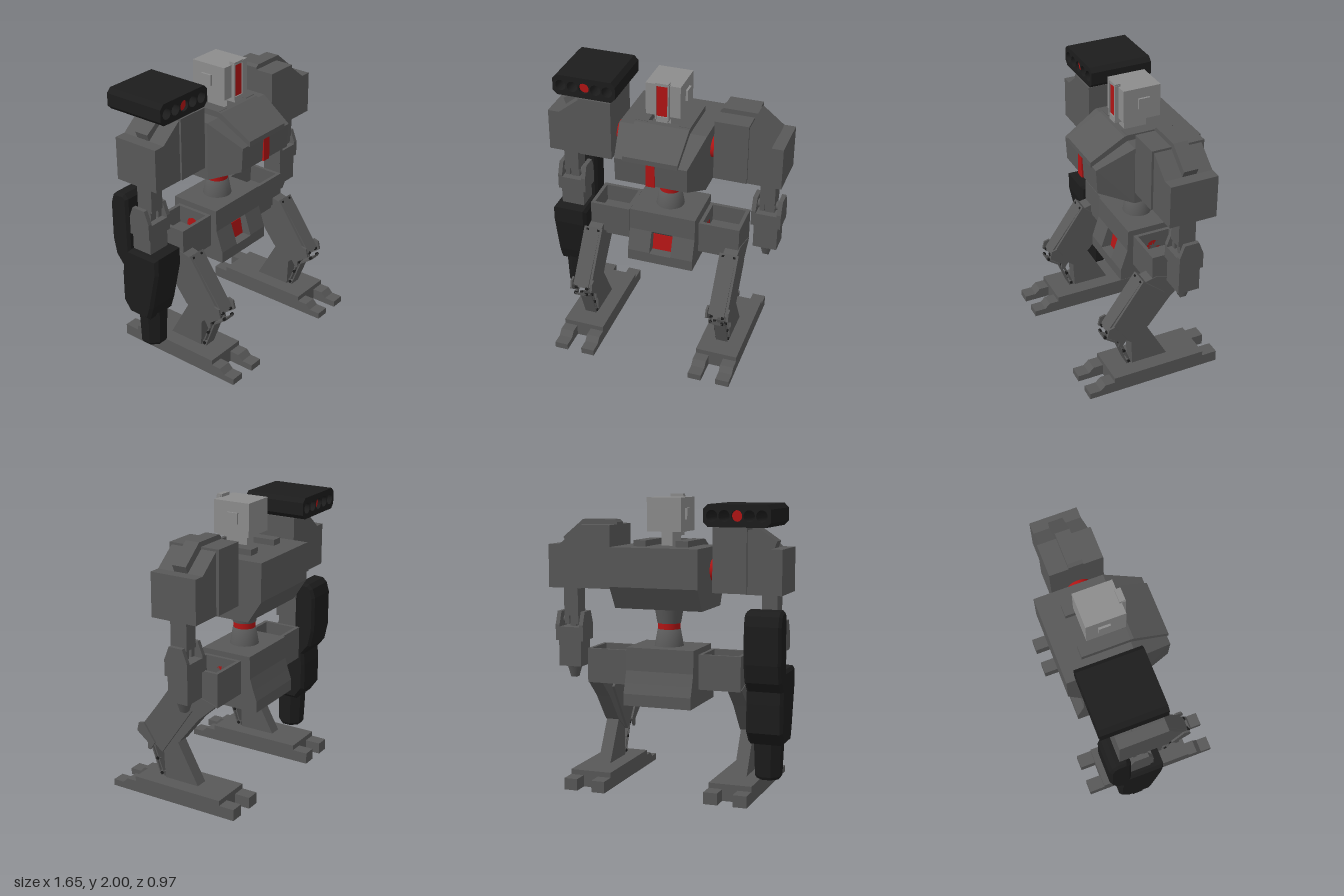
import * as THREE from 'three';
import { ConvexGeometry } from 'three/addons/geometries/ConvexGeometry.js';

const mat = (color) => new THREE.MeshStandardMaterial({ color });
const GREY = mat(0x585858), LIGHT = mat(0x8c8c8c), BLACK = mat(0x1c1c1c), RED = mat(0xb01414);

function add(parent, name, geometry, material = GREY) {
  const mesh = new THREE.Mesh(geometry, material);
  mesh.name = name;
  parent.add(mesh);
  return mesh;
}

// Box given by its limits on each axis
function box(parent, name, x0, x1, y0, y1, z0, z1, material) {
  const g = new THREE.BoxGeometry(Math.abs(x1 - x0), y1 - y0, Math.abs(z1 - z0));
  g.translate((x0 + x1) / 2, (y0 + y1) / 2, (z0 + z1) / 2);
  return add(parent, name, g, material);
}

const toShape = (pts) => new THREE.Shape(pts.map(([a, b]) => new THREE.Vector2(a, b)));

// Side profile of [z, y] points, extruded across x around a centre
function side(parent, name, pts, x, width, material, bevel = 0) {
  const g = new THREE.ExtrudeGeometry(toShape(pts), {
    depth: width - 2 * bevel, bevelEnabled: bevel > 0, bevelSize: bevel, bevelThickness: bevel,
    bevelOffset: -bevel, bevelSegments: 1 });
  g.rotateY(-Math.PI / 2).translate(x + width / 2 - bevel, 0, 0);
  return add(parent, name, g, material);
}

// Front profile of [x, y] points, extruded from z0 to z1
function front(parent, name, pts, z0, z1, material) {
  const g = new THREE.ExtrudeGeometry(toShape(pts), { depth: z1 - z0, bevelEnabled: false });
  return add(parent, name, g.translate(0, 0, z0), material);
}

// Cylinder lying along x
function axle(parent, name, x, y, z, r, length, material, sides = 24) {
  const g = new THREE.CylinderGeometry(r, r, length, sides).rotateZ(Math.PI / 2);
  return add(parent, name, g.translate(x, y, z), material);
}

function hull(parent, name, pts, material) {
  return add(parent, name, new ConvexGeometry(pts.map((p) => new THREE.Vector3(...p))), material);
}

function buildHead(root) {
  const head = new THREE.Group();
  head.name = 'head';
  box(head, 'neck', -0.04, 0.04, 1.64, 1.77, -0.21, -0.05, LIGHT);
  box(head, 'skull', -0.12, 0.12, 1.755, 1.98, -0.27, -0.005, LIGHT);
  box(head, 'visor', -0.038, 0.038, 1.76, 1.98, -0.01, 0.012, RED);
  box(head, 'chin', -0.04, 0.04, 1.72, 1.76, -0.06, 0.02, LIGHT);
  box(head, 'crest', -0.045, 0.045, 1.98, 2.0, -0.02, 0.02, LIGHT);
  for (const s of [-1, 1]) {
    box(head, 'visorFrame', s * 0.038, s * 0.048, 1.74, 1.99, -0.01, 0.022, LIGHT);
    box(head, 'ear', s * 0.11, s * 0.135, 1.835, 1.91, -0.19, -0.11, LIGHT);
  }
  root.add(head);
}

function buildTorso(root) {
  const torso = new THREE.Group();
  torso.name = 'torso';
  const pts = [];
  for (const s of [-1, 1]) {
    for (const [y, z] of [[1.66, -0.475], [1.4, -0.475], [1.25, -0.38], [1.25, 0], [1.66, 0]]) pts.push([s * 0.305, y, z]);
    pts.push([s * 0.25, 1.36, 0.24], [s * 0.25, 1.53, 0.25]);
    box(torso, 'collarRail', s * 0.105, s * 0.19, 1.65, 1.7, -0.33, 0);
  }
  hull(torso, 'chest', pts);
  side(torso, 'collarPlate', [[-0.02, 1.6], [-0.02, 1.7], [0.02, 1.695], [0.26, 1.56], [0.26, 1.525], [0.1, 1.5]], 0, 0.38);
  box(torso, 'chestLight', -0.03, 0.03, 1.36, 1.526, 0.2, 0.254, RED);
  // Waist
  const lathe = (name, prof, material) => add(torso, name,
    new THREE.LatheGeometry(prof.map(([r, y]) => new THREE.Vector2(r, y)), 32).translate(0, 0, -0.17), material);
  lathe('waistUpper', [[0, 1.14], [0.08, 1.14], [0.1, 1.255]].slice(1));
  lathe('waistRing', [[0.075, 1.09], [0.075, 1.15]], RED);
  lathe('waistLower', [[0.1, 0.98], [0.078, 1.1], [0, 1.1]]);
  add(torso, 'waistCap', new THREE.CylinderGeometry(0.08, 0.08, 0.004, 32).translate(0, 1.142, -0.17));
  root.add(torso);
}

function buildPelvis(root) {
  const pelvis = new THREE.Group();
  pelvis.name = 'pelvis';
  const back = [[0.065, 0.6], [-0.41, 0.6], [-0.41, 0.68], [-0.385, 0.75], [-0.36, 0.83], [-0.355, 0.985], [0.01, 0.985]];
  const plain = [...back, [0.015, 0.83], [0.065, 0.68]];
  const notched = [...back, [0.015, 0.83], [-0.03, 0.79], [-0.01, 0.675], [0.065, 0.675]];
  side(pelvis, 'pelvisSide', plain, -0.158, 0.16);
  side(pelvis, 'pelvisSide', plain, 0.158, 0.16);
  side(pelvis, 'pelvisMiddle', notched, 0, 0.156);
  side(pelvis, 'pelvisLight', [[-0.035, 0.79], [-0.025, 0.79], [-0.004, 0.676], [-0.015, 0.676]], 0, 0.154, RED);
  root.add(pelvis);
}

function buildLeg(root, s) {
  const leg = new THREE.Group();
  leg.name = s > 0 ? 'leftLeg' : 'rightLeg';
  const c = s * 0.5;
  // Hip tray, open at the top
  axle(leg, 'hipJoint', s * 0.25, 0.845, -0.16, 0.05, 0.06, RED);
  box(leg, 'hipFloor', s * 0.255, s * 0.545, 0.72, 0.83, -0.3, -0.02);
  for (const [z0, z1] of [[-0.3, -0.275], [-0.045, -0.02]]) box(leg, 'hipWall', s * 0.255, s * 0.545, 0.83, 0.955, z0, z1);
  for (const [x0, x1] of [[0.255, 0.28], [0.52, 0.545]]) box(leg, 'hipWall', s * x0, s * x1, 0.83, 0.955, -0.275, -0.045);
  // Thigh and shin
  side(leg, 'thigh', [[0.03, 0.78], [-0.05, 0.8], [-0.29, 0.73], [-0.15, 0.6], [0, 0.41], [0.13, 0.31], [0.29, 0.44]], c, 0.1);
  side(leg, 'thighArmor', [[0.055, 0.8], [-0.11, 0.66], [0.13, 0.31], [0.3, 0.45]], c, 0.135);
  side(leg, 'thighPanel', [[0.062, 0.79], [0.04, 0.785], [0.29, 0.43], [0.315, 0.45]], c, 0.1);
  side(leg, 'shin', [[0.16, 0.42], [0.13, 0.3], [0.12, 0.1], [-0.15, 0.1], [0.015, 0.4], [0.06, 0.46]], c, 0.09);
  // Knee guard and the open strut below it
  side(leg, 'kneePlate', [[0.335, 0.415], [0.325, 0.4], [0.23, 0.335], [0.155, 0.12], [0.163, 0.12], [0.24, 0.325], [0.335, 0.395]], c, 0.085);
  side(leg, 'strutPlate', [[0.222, 0.35], [0.212, 0.345], [0.128, 0.12], [0.138, 0.12]], c, 0.085);
  for (const e of [-1, 1]) {
    side(leg, 'kneeRail', [[0.31, 0.49], [0.27, 0.5], [0.18, 0.37], [0.22, 0.31], [0.24, 0.32], [0.235, 0.36], [0.325, 0.43]], c + e * 0.075, 0.014);
    for (const [z, y] of [[0.06, 0.78], [0.27, 0.49], [0.31, 0.445], [0.325, 0.405], [0.225, 0.335], [0.185, 0.24], [0.15, 0.14]]) {
      axle(leg, 'bolt', c + e * 0.04, y, z, 0.011, 0.018, BLACK, 8);
    }
    for (const y of [0.14, 0.23, 0.32]) {
      const z = 0.14 + (y - 0.12) * 0.39;
      box(leg, 'strutSpacer', c + e * 0.025, c + e * 0.04, y, y + 0.012, z - 0.015, z + 0.016);
    }
    // Toes at the front and heel prongs behind
    side(leg, 'toe', [[0.25, 0], [0.485, 0], [0.485, 0.045], [0.405, 0.045], [0.37, 0.08], [0.25, 0.08]], c + e * 0.1, 0.095);
    box(leg, 'heelProng', c + e * 0.0525, c + e * 0.1475, 0, 0.08, -0.485, -0.36);
  }
  side(leg, 'foot', [[-0.375, 0], [0.3, 0], [0.3, 0.115], [-0.375, 0.115]], c, 0.295);
  root.add(leg);
}

function buildArm(root, s, hasHand) {
  const arm = new THREE.Group();
  arm.name = s > 0 ? 'leftArm' : 'rightArm';
  const c = s * 0.71, flip = (pts) => pts.map(([x, y]) => [s * x, y]);
  // Shoulder
  axle(arm, 'shoulderJoint', s * 0.335, 1.505, -0.155, 0.075, 0.09, RED);
  box(arm, 'shoulderInner', s * 0.36, s * 0.59, 1.37, 1.795, -0.34, 0.025);
  front(arm, 'shoulderOuter', flip([[0.58, 1.365], [0.82, 1.365], [0.82, 1.66], [0.74, 1.66], [0.59, 1.78], [0.58, 1.78]]), -0.32, 0.01);
  front(arm, 'shoulderRib', flip(hasHand
    ? [[0.36, 1.7], [0.36, 1.81], [0.38, 1.828], [0.61, 1.828], [0.76, 1.705], [0.735, 1.65]]
    : [[0.36, 1.7], [0.36, 1.795], [0.62, 1.795], [0.755, 1.705], [0.735, 1.65]]), -0.21, -0.11);
  // Upper arm and elbow
  box(arm, 'upperArm', c - 0.052, c + 0.052, 1.16, 1.38, -0.21, -0.09);
  for (const e of [-1, 1]) {
    box(arm, 'elbowLug', c + e * 0.02, c + e * 0.052, 1.1, 1.17, -0.2, -0.1);
    side(arm, 'forearmFork', [[-0.11, 1.19], [-0.21, 1.19], [-0.245, 1.1], [-0.245, 0.99], [-0.075, 0.99], [-0.075, 1.1]], c + e * 0.088, 0.03);
  }
  axle(arm, 'elbowPin', c, 1.13, -0.15, 0.03, 0.17);
  box(arm, 'elbowLink', c - 0.02, c + 0.02, 1.04, 1.16, -0.18, -0.12);
  const pts = [];
  for (const e of [-1, 1]) for (const z of [-0.245, -0.075]) pts.push([c + e * 0.1, 1.085, z], [c + e * 0.1, 0.99, z], [c + e * 0.083, 0.99, z]);
  hull(arm, 'forearm', pts);
  box(arm, 'wrist', c - 0.083, c + 0.083, hasHand ? 0.81 : 0.87, 0.992, -0.235, -0.085);
  if (hasHand) {
    const tip = new THREE.CylinderGeometry(0.058, 0.03, 0.09, 4, 1).rotateY(Math.PI / 4);
    add(arm, 'handTip', tip.translate(c, 0.77, -0.155));
  }
  root.add(arm);
}

// Large gun carried on the right forearm
function buildCannon(root) {
  const cannon = new THREE.Group();
  cannon.name = 'armCannon';
  const x = -0.71;
  side(cannon, 'backShell', [[-0.24, 1.24], [-0.27, 1.27], [-0.34, 1.265], [-0.37, 1.235], [-0.39, 1.17], [-0.39, 0.92],
    [-0.365, 0.8], [-0.3, 0.72], [-0.2, 0.72], [-0.235, 0.85]], x, 0.25, BLACK, 0.018);
  side(cannon, 'gunBody', [[0, 0.87], [-0.3, 0.87], [-0.32, 0.65], [-0.32, 0.46], [-0.26, 0.375], [-0.09, 0.375], [-0.06, 0.47], [0, 0.75]],
    x, 0.25, BLACK, 0.02);
  const muzzle = new THREE.LatheGeometry([[0, 0.16], [0.06, 0.16], [0.065, 0.13], [0.08, 0.13], [0.092, 0.15], [0.102, 0.4]]
    .map(([r, y]) => new THREE.Vector2(r, y)), 8, Math.PI / 8).toNonIndexed();
  muzzle.computeVertexNormals();
  add(cannon, 'barrel', muzzle.translate(x + 0.005, 0, -0.165), BLACK);
  root.add(cannon);
}

// Launcher on the right shoulder, with open tubes and one red eye
function buildLauncher(root) {
  const launcher = new THREE.Group();
  launcher.name = 'launcher';
  const shape = toShape([[-0.74, 1.8], [-0.355, 1.8], [-0.325, 1.83], [-0.325, 1.915], [-0.355, 1.945], [-0.74, 1.945], [-0.77, 1.915], [-0.77, 1.83]]);
  for (let i = 0; i < 5; i++) {
    const x = -0.712 + i * 0.0825;
    shape.holes.push(new THREE.Path().absarc(x, 1.872, 0.037, 0, Math.PI * 2, true));
    if (i === 2) {
      const eye = new THREE.CylinderGeometry(0.037, 0.037, 0.4, 24).rotateX(Math.PI / 2);
      add(launcher, 'launcherEye', eye.translate(x, 1.872, -0.2), RED);
    }
  }
  const g = new THREE.ExtrudeGeometry(shape, { depth: 0.445, bevelEnabled: false, curveSegments: 24 });
  add(launcher, 'launcherBody', g.translate(0, 0, -0.425), BLACK);
  root.add(launcher);
}

export function createModel() {
  const root = new THREE.Group();
  root.name = 'walkingRobot';
  buildHead(root);
  buildTorso(root);
  buildPelvis(root);
  for (const s of [-1, 1]) {
    buildLeg(root, s);
    buildArm(root, s, s > 0);
  }
  buildCannon(root);
  buildLauncher(root);
  root.position.x = 0.005;
  return root;
}
